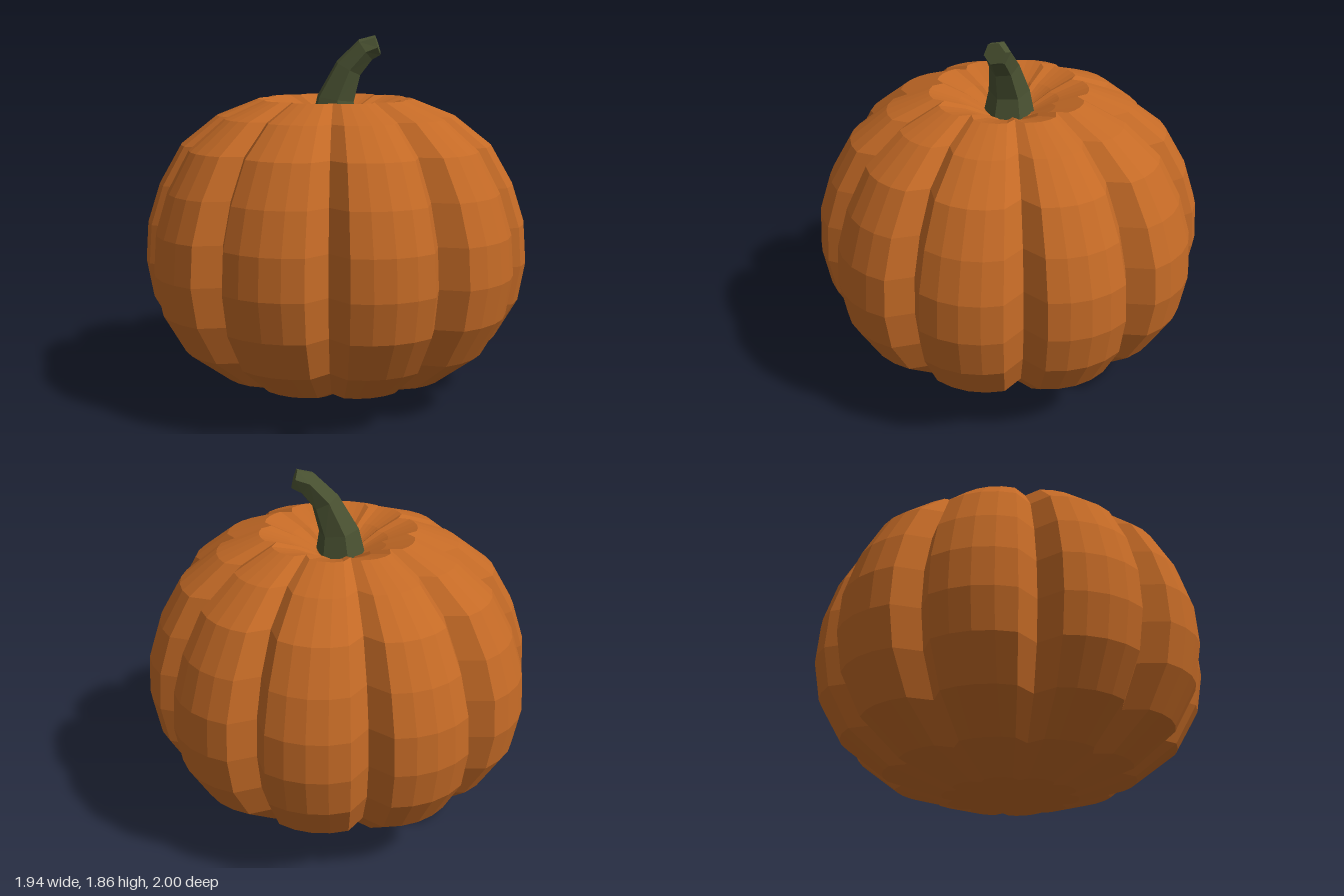
import * as THREE from 'three';

// Skins closed rings (each counter-clockwise about its direction of travel), closing both ends with fans.
function loft(rings, start, end) {
  const pos = [];
  const tri = (...pts) => pts.forEach((p) => pos.push(p.x, p.y, p.z));
  const n = rings[0].length;
  const last = rings[rings.length - 1];
  for (let j = 0; j < n; j++) {
    const k = (j + 1) % n;
    tri(start, rings[0][k], rings[0][j]);
    for (let i = 0; i < rings.length - 1; i++) {
      const a = rings[i], b = rings[i + 1];
      tri(a[j], a[k], b[k]);
      tri(a[j], b[k], b[j]);
    }
    tri(last[j], last[k], end);
  }
  const geo = new THREE.BufferGeometry();
  geo.setAttribute('position', new THREE.Float32BufferAttribute(pos, 3));
  geo.computeVertexNormals();
  return geo;
}

// Ribbed body: ten lobes of six segments, with grooves between them
function bodyGeometry() {
  const lobe = [0.86, 0.97, 0.992, 1, 0.992, 0.97];
  const profile = [
    [0.34, 0.04], [0.635, 0.135], [0.85, 0.3], [0.965, 0.5], [1, 0.7], [0.985, 0.9],
    [0.92, 1.1], [0.805, 1.3], [0.615, 1.45], [0.4, 1.535],
    [0.25, 1.485], [0.12, 1.42], // dimple round the stem
  ];
  const rings = profile.map(([r, y]) => Array.from({ length: 60 }, (_, j) => {
    const a = (j / 60) * Math.PI * 2;
    const rr = r * lobe[j % 6];
    return new THREE.Vector3(Math.cos(a) * rr, y, -Math.sin(a) * rr);
  }));
  return loft(rings, new THREE.Vector3(0, 0, 0), new THREE.Vector3(0, 1.4, 0));
}

// Six-sided stem, tapering and bending over towards the front left
function stemGeometry() {
  const bend = new THREE.Vector3(0.92, 0, 0.39).normalize();
  const side = new THREE.Vector3(-bend.z, 0, bend.x);
  // x, y, z, radius, tilt
  const sections = [
    [-0.01, 1.4, 0, 0.13, 0],
    [0, 1.535, 0, 0.103, 0.15],
    [0.06, 1.69, 0.03, 0.075, 0.5],
    [0.14, 1.785, 0.065, 0.065, 0.95],
    [0.2, 1.808, 0.085, 0.054, 1.27],
  ];
  const rings = sections.map(([x, y, z, r, tilt]) => {
    const across = bend.clone().multiplyScalar(Math.cos(tilt));
    across.y = -Math.sin(tilt);
    return Array.from({ length: 6 }, (_, j) => {
      const t = 0.23 + (j / 6) * Math.PI * 2;
      return new THREE.Vector3(x, y, z)
        .addScaledVector(side, r * Math.cos(t))
        .addScaledVector(across, r * Math.sin(t));
    });
  });
  const centre = (s) => new THREE.Vector3(s[0], s[1], s[2]);
  return loft(rings, centre(sections[0]), centre(sections[sections.length - 1]));
}

export function createModel() {
  const orange = new THREE.MeshStandardMaterial({ color: 0xc46a26, flatShading: true });
  orange.name = 'pumpkin orange';
  const green = new THREE.MeshStandardMaterial({ color: 0x4a5232, flatShading: true });
  green.name = 'stem green';

  const group = new THREE.Group();
  group.name = 'pumpkin';
  const body = new THREE.Mesh(bodyGeometry(), orange);
  body.name = 'ribbedBody';
  const stem = new THREE.Mesh(stemGeometry(), green);
  stem.name = 'stem';
  group.add(body, stem);
  return group;
}
